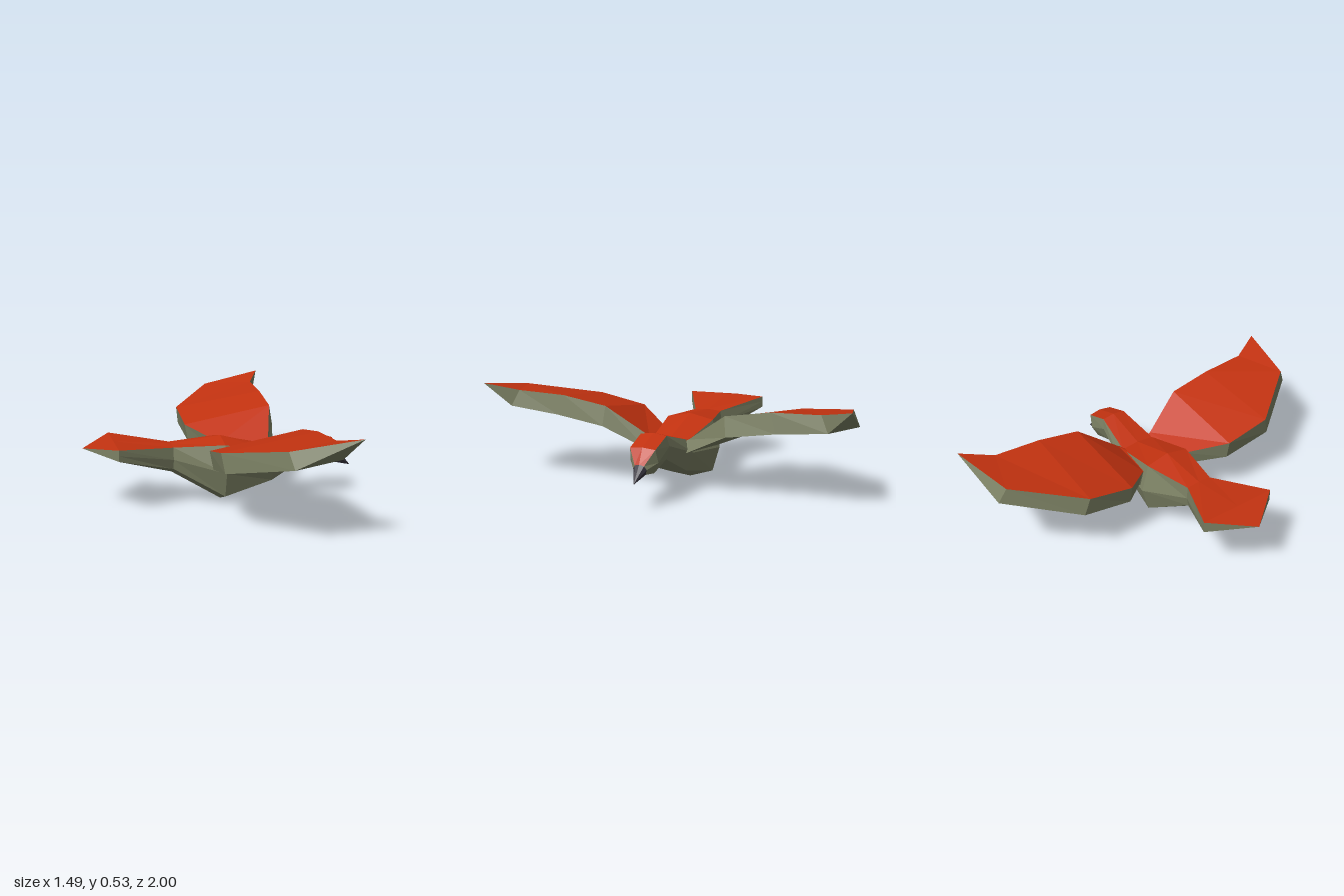
import * as THREE from 'three';

const plumage = new THREE.MeshStandardMaterial({ color: 0x7c8164, flatShading: true });
plumage.name = 'olive plumage';
const back = new THREE.MeshStandardMaterial({ color: 0xc23210, flatShading: true });
back.name = 'red back';
const horn = new THREE.MeshStandardMaterial({ color: 0x36333d, flatShading: true });
horn.name = 'dark beak';

// Faceted skin over closed rings of [x, y, z]; strips listed in redStrips use material 1
function loft(rings, redStrips = []) {
  const n = rings[0].length;
  const pos = [[], []];
  for (let i = 0; i < rings.length - 1; i++) {
    for (let j = 0; j < n; j++) {
      const k = (j + 1) % n;
      const a = rings[i][j], b = rings[i][k], c = rings[i + 1][k], d = rings[i + 1][j];
      const out = pos[redStrips.includes(j) ? 1 : 0];
      for (const tri of [[a, b, c], [a, c, d]]) {
        const t = new THREE.Triangle(...tri.map((p) => new THREE.Vector3(...p)));
        if (t.getArea() > 1e-7) out.push(...tri.flat());
      }
    }
  }
  const g = new THREE.BufferGeometry();
  g.setAttribute('position', new THREE.Float32BufferAttribute([...pos[0], ...pos[1]], 3));
  g.addGroup(0, pos[0].length / 3, 0);
  g.addGroup(pos[0].length / 3, pos[1].length / 3, 1);
  g.computeVertexNormals();
  return g;
}

// Half section (ridge, shoulder, side, belly, keel) mirrored into a full ring
const ring = (half) => [...half, ...half.slice(1, -1).reverse().map(([x, y, z]) => [x, y, -z])];

function addMesh(group, name, geometry, material) {
  const mesh = new THREE.Mesh(geometry, material);
  mesh.name = name;
  group.add(mesh);
}

export function createModel() {
  const bird = new THREE.Group();
  bird.name = 'bird';

  const tailTip = Array(5).fill([-0.745, 0.32, 0]);
  const tailFan = [[-0.58, 0.35, 0], [-0.58, 0.35, 0.22], [-0.58, 0.32, 0.22], [-0.58, 0.29, 0.22], [-0.58, 0.29, 0]];
  const rump = [[-0.27, 0.322, 0], [-0.27, 0.316, 0.075], [-0.27, 0.25, 0.08], [-0.27, 0.198, 0.07], [-0.27, 0.167, 0]];
  const chest = [[0, 0.355, 0], [0, 0.327, 0.13], [0, 0.18, 0.17], [0, 0.045, 0.13], [0, 0.003, 0]];
  const neck = [[0.27, 0.285, 0], [0.27, 0.275, 0.1], [0.27, 0.21, 0.125], [0.27, 0.11, 0.085], [0.27, 0.097, 0]];
  const crown = [[0.495, 0.355, 0], [0.495, 0.345, 0.07], [0.48, 0.29, 0.08], [0.465, 0.215, 0.055], [0.46, 0.205, 0]];
  const face = [[0.635, 0.312, 0], [0.63, 0.304, 0.068], [0.61, 0.235, 0.075], [0.595, 0.175, 0.045], [0.59, 0.165, 0]];
  const beakBase = [[0.675, 0.234, 0], [0.672, 0.228, 0.025], [0.665, 0.208, 0.036], [0.653, 0.18, 0.025], [0.648, 0.17, 0]];
  const beakTip = Array(5).fill([0.743, 0.15, 0]);

  // Tail, body and head, with the two strips beside the ridge in red
  const red = [0, 7];
  addMesh(bird, 'tail', loft([tailTip, tailFan, rump].map(ring), red), [plumage, back]);
  addMesh(bird, 'body', loft([rump, chest, neck, crown].map(ring), red), [plumage, back]);
  addMesh(bird, 'head', loft([crown, face, beakBase].map(ring), red), [plumage, back]);
  addMesh(bird, 'beak', loft([beakBase, beakTip].map(ring)), [horn, horn]);

  // Wing sections from root to tip: leading top, trailing top, trailing bottom, leading bottom
  const wing = [
    [[0.29, 0.25, 0.04], [0.03, 0.27, 0.04], [0.03, 0.19, 0.04], [0.31, 0.2, 0.04]],
    [[0.3, 0.285, 0.11], [0.03, 0.28, 0.14], [0.03, 0.2, 0.17], [0.33, 0.22, 0.11]],
    [[0.365, 0.44, 0.33], [-0.13, 0.35, 0.33], [-0.11, 0.25, 0.33], [0.385, 0.335, 0.34]],
    [[0.37, 0.48, 0.57], [-0.13, 0.4, 0.59], [-0.115, 0.3, 0.617], [0.385, 0.375, 0.6]],
    [[0.38, 0.49, 0.83], [0.115, 0.472, 0.925], [0.135, 0.39, 0.965], [0.4, 0.405, 0.87]],
    Array(4).fill([0.46, 0.53, 1]),
  ];
  const mirrored = wing.map((s) => s.map(([x, y, z]) => [x, y, -z])).reverse();
  addMesh(bird, 'wingNear', loft(wing, [0]), [plumage, back]);
  addMesh(bird, 'wingFar', loft(mirrored, [0]), [plumage, back]);

  return bird;
}
